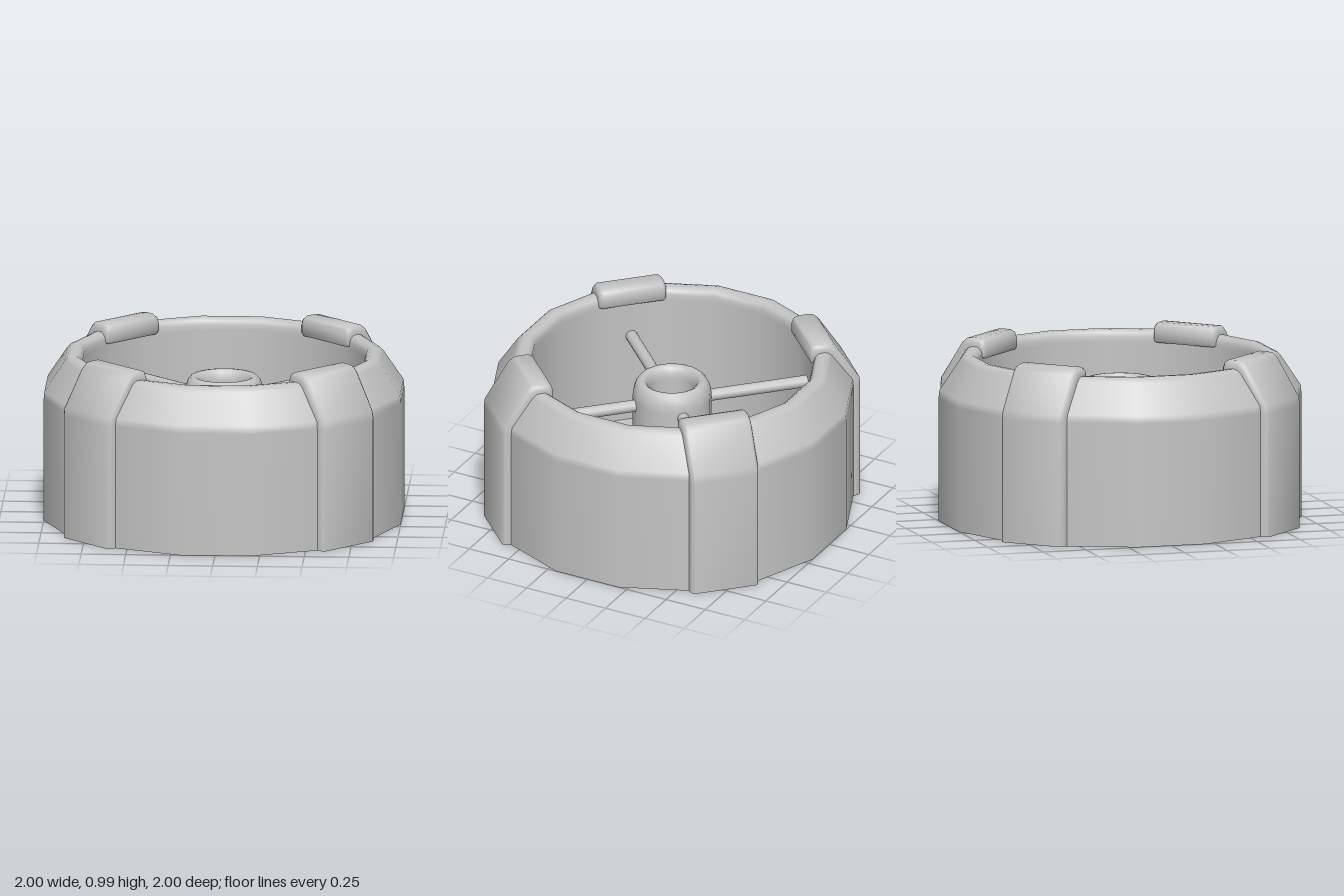
import * as THREE from 'three';
import { toCreasedNormals } from 'three/addons/utils/BufferGeometryUtils.js';

const SIDES = 16;
const FLOOR_Y = 0.135;
const SPOKE_Y = 0.66;

export function createModel() {
  const model = new THREE.Group();
  model.name = 'spokedRing';
  const grey = new THREE.MeshStandardMaterial({ color: 0xc4c4c4, side: THREE.DoubleSide });
  grey.name = 'plain grey';

  const add = (name, geometry, parent = model) => {
    const mesh = new THREE.Mesh(geometry, grey);
    mesh.name = name;
    parent.add(mesh);
    return mesh;
  };

  // Profiles give the distance to the flats; the corners lie slightly further out
  const lathe = (profile) => new THREE.LatheGeometry(
    profile.map(([d, y]) => new THREE.Vector2(d / Math.cos(Math.PI / SIDES), y)),
    SIDES, Math.PI / SIDES);

  // Hollow outer ring, open underneath
  add('outerRing', lathe([
    [1, 0], [1, 0.7], [0.996, 0.742], [0.885, 0.912], [0.868, 0.93], [0.845, 0.938],
    [0.815, 0.936], [0.796, 0.922], [0.787, 0.9], [0.787, 0.87], [0.787, 0],
  ]));

  // Recessed floor
  const floor = add('floor', new THREE.CircleGeometry(0.8, SIDES, Math.PI / SIDES));
  floor.rotation.x = -Math.PI / 2;
  floor.position.y = FLOOR_Y;

  // Central hub with a rounded lip and a round hole
  add('hub', lathe([
    [0.218, FLOOR_Y], [0.218, 0.69], [0.215, 0.73], [0.203, 0.77], [0.182, 0.795],
    [0.165, 0.797], [0.146, 0.785], [0.134, 0.76], [0.13, 0.73], [0.13, FLOOR_Y],
  ]));

  // Spokes and clips repeat on the four diagonals
  const clipGeometry = makeClip();
  const spokeGeometry = new THREE.CylinderGeometry(0.034, 0.034, 0.62, 12);
  spokeGeometry.rotateZ(Math.PI / 2);
  for (let i = 0; i < 4; i++) {
    const arm = new THREE.Group();
    arm.name = 'arm' + (i + 1);
    arm.rotation.y = Math.PI / 4 + i * Math.PI / 2;
    add('spoke', spokeGeometry, arm).position.set(0.485, SPOKE_Y, 0);
    add('clip', clipGeometry, arm);
    model.add(arm);
  }
  return model;
}

// Strap folded over the rim: a bevelled cross-section swept along its profile
function makeClip() {
  const outer = [
    [1.046, 0], [1.046, 0.7], [1.04, 0.745], [0.905, 0.955], [0.875, 0.98], [0.84, 0.985],
    [0.79, 0.985], [0.762, 0.972], [0.75, 0.94], [0.75, 0.89], [0.762, 0.872], [0.8, 0.87],
  ];
  const base = [
    [0.97, 0], [0.97, 0.69], [0.965, 0.72], [0.855, 0.89], [0.845, 0.91], [0.83, 0.915],
    [0.812, 0.915], [0.81, 0.914], [0.81, 0.91], [0.81, 0.9], [0.81, 0.9], [0.81, 0.9],
  ];
  // Half-width, and how far from base to outer surface
  const half = [[0.2, 0], [0.2, 0.54], [0.193, 0.84], [0.177, 1]];
  const section = [
    ...half.map(([w, t]) => [-w, t]),
    ...half.slice().reverse(),
  ];
  const positions = [];
  const index = [];
  const n = section.length;
  outer.forEach(([d, y], i) => {
    const [bd, by] = base[i];
    section.forEach(([w, t], j) => {
      positions.push(bd + (d - bd) * t, by + (y - by) * t, w);
      if (i + 1 < outer.length && j + 1 < n) {
        const a = i * n + j;
        index.push(a, a + n, a + 1, a + 1, a + n, a + n + 1);
      }
    });
  });
  const geometry = new THREE.BufferGeometry();
  geometry.setAttribute('position', new THREE.Float32BufferAttribute(positions, 3));
  geometry.setIndex(index);
  return toCreasedNormals(geometry, 0.8);
}
